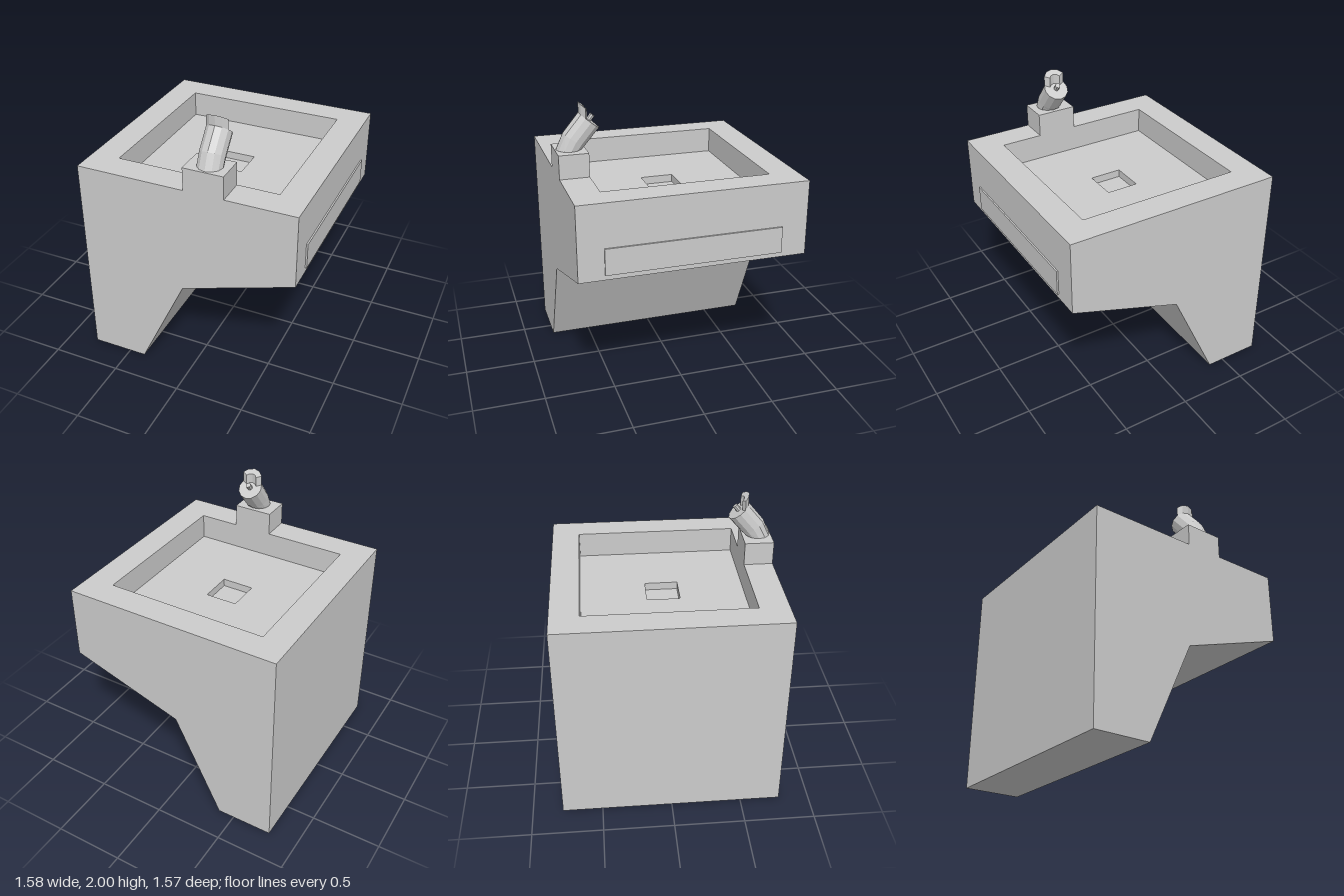
import * as THREE from 'three';

const material = new THREE.MeshStandardMaterial({ color: 0xcccccc, flatShading: true });

function addMesh(parent, name, geometry) {
  const mesh = new THREE.Mesh(geometry, material);
  mesh.name = name;
  parent.add(mesh);
  return mesh;
}

function fromPoints(points, index) {
  const g = new THREE.BufferGeometry();
  g.setAttribute('position', new THREE.Float32BufferAttribute(points.flat(), 3));
  g.setIndex(index);
  g.computeVertexNormals();
  return g;
}

// separate four-cornered faces, corners counter-clockwise from outside
function quads(list) {
  const index = list.flatMap((_, i) => [0, 1, 2, 0, 2, 3].map(k => i * 4 + k));
  return fromPoints(list.flat(), index);
}

// rectangles are { x0, x1, z0, z1 }
const corners = r => [[r.x0, r.z1], [r.x1, r.z1], [r.x1, r.z0], [r.x0, r.z0]];

// level face with an optional rectangular opening
function deck(outer, y, hole) {
  const toPoints = r => corners(r).map(([x, z]) => new THREE.Vector2(x, -z));
  const shape = new THREE.Shape(toPoints(outer));
  if (hole) shape.holes.push(new THREE.Path(toPoints(hole).reverse()));
  return new THREE.ShapeGeometry(shape).rotateX(-Math.PI / 2).translate(0, y, 0);
}

// inward-facing walls of a recess
function well(r, low, high) {
  const c = corners(r);
  return quads(c.map(([ax, az], i) => {
    const [bx, bz] = c[(i + 1) % 4];
    return [[bx, low, bz], [ax, low, az], [ax, high, az], [bx, high, bz]];
  }));
}

// loft a flat section [across, back] through stations { y, z, tilt }
function loft(section, stations) {
  const n = section.length, points = [], index = [];
  for (const s of stations) {
    for (const [u, v] of section) {
      points.push([u, s.y + v * Math.sin(s.tilt), s.z + v * Math.cos(s.tilt)]);
    }
  }
  for (let k = 0; k < stations.length - 1; k++) {
    for (let i = 0; i < n; i++) {
      const a = k * n + i, b = k * n + (i + 1) % n;
      index.push(a, a + n, b + n, a, b + n, b);
    }
  }
  const top = (stations.length - 1) * n;
  const contour = section.map(p => new THREE.Vector2(...p));
  for (const [a, b, c] of THREE.ShapeUtils.triangulateShape(contour, [])) {
    index.push(a, b, c, top + a, top + c, top + b);
  }
  return fromPoints(points, index);
}

function arc(radius, start, end, count) {
  return Array.from({ length: count }, (_, i) => {
    const a = start + (end - start) * i / (count - 1);
    return [radius * Math.cos(a), radius * Math.sin(a)];
  });
}

const circle = (radius, sides) => arc(radius, 0, 2 * Math.PI * (1 - 1 / sides), sides);

export function createModel() {
  const model = new THREE.Group();
  const D = 0.785, TOP = 1.52, FLOOR = 1.335, DRAIN = 1.28;
  const rim = { x0: -0.79, x1: 0.775, z0: -D, z1: D };
  const basin = { x0: -0.59, x1: 0.575, z0: -0.585, z1: 0.58 };
  const drain = { x0: -0.12, x1: 0.11, z0: -0.12, z1: 0.115 };

  // body: side profile swept from front to back, left open at the top
  const profile = [[-0.79, 0], [-0.38, 0], [-0.035, 0.73], [0.775, 0.995], [0.775, TOP], [-0.79, TOP]];
  const body = new THREE.Group();
  body.name = 'body';
  model.add(body);
  const face = new THREE.ShapeGeometry(new THREE.Shape(profile.map(p => new THREE.Vector2(...p))));
  addMesh(body, 'frontFace', face.clone().translate(0, 0, D));
  // the back face is the same outline with its triangles turned over
  const back = face.clone().translate(0, 0, -D);
  back.setIndex(Array.from(back.index.array).reverse());
  back.computeVertexNormals();
  addMesh(body, 'backFace', back);
  const walls = [];
  profile.forEach(([ax, ay], i) => {
    if (i === 4) return;
    const [bx, by] = profile[(i + 1) % profile.length];
    walls.push([[ax, ay, D], [ax, ay, -D], [bx, by, -D], [bx, by, D]]);
  });
  addMesh(body, 'sideWalls', quads(walls));

  // basin with a square drain
  addMesh(body, 'rim', deck(rim, TOP, basin));
  addMesh(body, 'basinWalls', well(basin, FLOOR, TOP));
  addMesh(body, 'basinFloor', deck(basin, FLOOR, drain));
  addMesh(body, 'drainWalls', well(drain, DRAIN, FLOOR));
  addMesh(body, 'drainFloor', deck(drain, DRAIN));

  // push bar on the overhanging side
  addMesh(model, 'pushBar', new THREE.BoxGeometry(0.02, 0.185, 1.215)).position.set(0.776, 1.122, 0.002);

  // block carrying the spout
  addMesh(model, 'spoutBlock', new THREE.BoxGeometry(0.285, 0.165, 0.205)).position.set(0.1375, 1.6025, 0.6825);

  // spout leaning over the basin
  const spout = new THREE.Group();
  spout.name = 'spout';
  spout.position.x = 0.147;
  model.add(spout);
  const tilt = 0.67;
  const cap = { y: 1.876, z: 0.549, tilt };
  addMesh(spout, 'spoutBarrel', loft(circle(0.0875, 12), [
    { y: 1.688, z: 0.69, tilt: 0 },
    { y: 1.753, z: 0.653, tilt: 0.55 },
    cap,
  ]));

  // curved guard rising straight up from the rear of the cap
  const guard = [
    ...arc(0.0875, Math.PI / 6, Math.PI * 5 / 6, 5),
    ...arc(0.045, Math.PI * 5 / 6, Math.PI / 6, 5),
  ];
  addMesh(spout, 'mouthGuard', loft(guard, [cap, { ...cap, y: cap.y + 0.07 }]));

  // water nozzle square to the cap
  addMesh(spout, 'nozzle', loft(circle(0.019, 8), [
    cap,
    { y: cap.y + 0.043 * Math.cos(tilt), z: cap.z - 0.043 * Math.sin(tilt), tilt },
  ]));

  return model;
}
